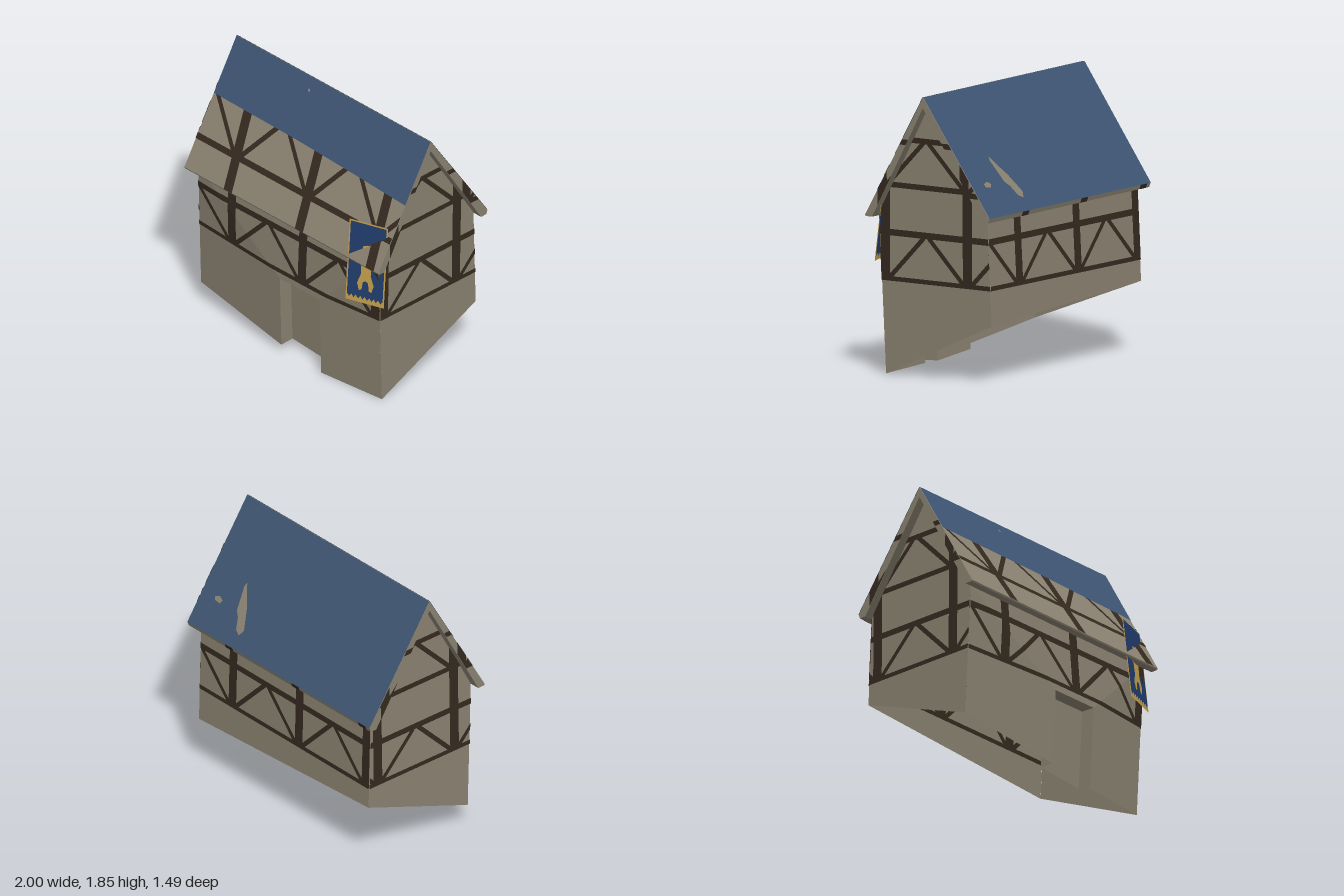
import * as THREE from 'three';

const YAW = 0.3195, C = Math.cos(YAW), S = Math.sin(YAW), T = S / C;
const mat = (name, color) => {
  const m = new THREE.MeshStandardMaterial({ color, side: THREE.DoubleSide });
  m.name = name;
  return m;
};

// The old roof sags a little towards its left end and leans at the ridge
const settle = (x, y, z) => [x + 0.0125 * (y - 1.04), y - 0.009 * x, z];

// Surfaces of the turned house: u is world x on long sides, world z on end walls; v is height
const longSide = (lz, off = 0) => (u, v) => [u, v, (lz(v, u) + off) / C + u * T];
const endSide = (lx, off = 0) => (u, v) => [(lx(v) + off) / C - u * T, v, u];
const settled = map => (u, v) => settle(...map(u, v));
const backZ = v => -0.475 + 0.042 * v;
const rightX = v => 0.811 + 0.014 * v;
const leftX = v => -0.844 + 0.014 * v;
const roofFrontZ = v => 0.49 - (v - 1.04) * (0.46 / 0.805);
const roofBackZ = v => -0.492 + (v - 1.10) * (0.522 / 0.745);
const backEaveZ = v => -0.482 - (v - 1.07) / 3;
// The front wall bulges outward around the door
const frontZ = (v, u) => 0.38 + 0.042 * v + 0.052 * Math.min((u + 0.92) / 0.73, (0.65 - u) / 0.495, (1.05 - v) / 0.485, 1);

// Flat outline laid on a surface
function plate(points, map) {
  const g = new THREE.ShapeGeometry(new THREE.Shape(points.map(p => new THREE.Vector2(p[0], p[1]))));
  const pos = g.attributes.position;
  for (let i = 0; i < pos.count; i++) pos.setXYZ(i, ...map(pos.getX(i), pos.getY(i)));
  g.computeVertexNormals();
  return g;
}

function quad(a, b, c, d) {
  const g = new THREE.BufferGeometry();
  g.setAttribute('position', new THREE.Float32BufferAttribute([a, b, c, a, c, d].flat(), 3));
  g.computeVertexNormals();
  return g;
}

// Cut a polygon to a convex region
function clip(poly, region) {
  const area = region.reduce((s, p, i) => {
    const q = region[(i + 1) % region.length];
    return s + p[0] * q[1] - q[0] * p[1];
  }, 0);
  const r = area > 0 ? region : [...region].reverse();
  let out = poly;
  r.forEach((a, i) => {
    const b = r[(i + 1) % r.length];
    const dist = p => (b[0] - a[0]) * (p[1] - a[1]) - (b[1] - a[1]) * (p[0] - a[0]);
    const next = [];
    out.forEach((p, j) => {
      const q = out[(j + 1) % out.length], dp = dist(p), dq = dist(q);
      if (dp >= 0) next.push(p);
      if (dp * dq < 0) {
        const t = dp / (dp - dq);
        next.push([p[0] + (q[0] - p[0]) * t, p[1] + (q[1] - p[1]) * t]);
      }
    });
    out = next;
  });
  return out;
}

// Repeating timber pattern: rails, posts and braces
function timberPattern() {
  const bar = (x0, y0, x1, y1, w) => {
    const l = Math.hypot(x1 - x0, y1 - y0), a = -(y1 - y0) / l * w / 2, b = (x1 - x0) / l * w / 2;
    return [[x0 - a, y0 - b], [x1 - a, y1 - b], [x1 + a, y1 + b], [x0 + a, y0 + b]];
  };
  const bars = [];
  for (const [y, w] of [[0.623, 0.03], [0.925, 0.042], [1.237, 0.036], [1.54, 0.036]]) bars.push(bar(-1.2, y, 1.2, y, w));
  for (const u of [-1.24, -0.62, 0, 0.615]) {
    bars.push(bar(u, 0.61, u, 1.8, 0.07));
    for (const y of [0.63, 1.25]) {
      for (const s of [-1, 1]) bars.push(bar(u + s * 0.03, y, u + s * 0.29, y + 0.28, 0.03));
    }
  }
  return bars;
}

export function createModel() {
  const plaster = mat('plaster', 0x8a8271);
  const timber = mat('timber', 0x34291f);
  const slate = mat('blue roof', 0x3e5472);
  const bannerBlue = mat('banner blue', 0x213c6c);
  const gold = mat('gold', 0xc29d4b);

  const house = new THREE.Group();
  house.name = 'house';
  const add = (name, geometry, material, parent = house) => {
    const m = new THREE.Mesh(geometry, material);
    m.name = name;
    parent.add(m);
    return m;
  };

  // Walls with an uneven lower edge; the front is three facets around the door
  const frontFacets = [
    [[-0.92, 0.155], [-0.19, 0.05], [-0.19, 0.565], [-0.92, 1.05]],
    [[-0.92, 1.05], [-0.19, 0.565], [0.155, 0.565], [0.65, 1.05]],
    [[0.155, 0], [0.65, 0], [0.65, 1.05], [0.155, 0.565]],
  ];
  const backOutline = [[-0.652, 0.47], [0.919, 0.38], [0.919, 1.085], [-0.652, 1.085]];
  const rightOutline = [[0.616, 0], [0.662, 1.05], [0.291, 1.79], [-0.147, 1.09], [-0.179, 0.38]];
  const leftOutline = [[0.103, 0.155], [0.142, 1.05], [-0.229, 1.79], [-0.668, 1.09], [-0.695, 0.47]];
  for (const facet of frontFacets) add('frontWall', plate(facet, longSide(frontZ)), plaster);
  add('backWall', plate(backOutline, longSide(backZ)), plaster);
  add('rightGable', plate(rightOutline, endSide(rightX)), plaster);
  add('leftGable', plate(leftOutline, endSide(leftX)), plaster);

  // Door recess
  const rim = [[-0.19, 0.05], [-0.19, 0.565], [0.155, 0.565], [0.155, 0.02]];
  const outer = rim.map(p => longSide(frontZ)(...p));
  const inner = outer.map(p => [p[0] + 0.1 * S, p[1] + 0.004, p[2] - 0.1 * C]);
  for (let i = 0; i < 3; i++) add('doorJamb', quad(outer[i], outer[i + 1], inner[i + 1], inner[i]), plaster);
  add('door', quad(...inner), plaster);

  // Roof shell: bent slab running along the house
  const profile = [[0.03, 1.845], [-0.492, 1.10], [-0.482, 1.07], [-0.435, 1.07], [0.03, 1.775], [0.435, 1.03], [0.485, 1.03], [0.49, 1.04]];
  const shell = new THREE.ExtrudeGeometry(new THREE.Shape(profile.map(p => new THREE.Vector2(...p))), { depth: 1.78, bevelEnabled: false });
  shell.translate(0, 0, -0.89).rotateY(-Math.PI / 2).rotateY(-YAW);
  const sp = shell.attributes.position;
  for (let i = 0; i < sp.count; i++) sp.setXYZ(i, ...settle(sp.getX(i), sp.getY(i), sp.getZ(i)));
  shell.computeVertexNormals();
  add('roofShell', shell, plaster);

  // Blue covering: whole back slope and upper front slope
  const onBack = off => settled(longSide(roofBackZ, off));
  const onFront = off => settled(longSide(roofFrontZ, off));
  add('backRoofCover', plate([[-0.69, 1.10], [0.999, 1.10], [0.835, 1.845], [-0.854, 1.845]], onBack(-0.003)), slate);
  add('frontRoofCover', plate([[-0.917, 1.495], [-0.2, 1.488], [0.2, 1.477], [0.765, 1.457], [0.835, 1.845], [-0.854, 1.845]], onFront(0.003)), slate);

  // Worn patches, outlined in plan (x, z) and lifted onto the back slope
  const roofBackY = (x, z) => 1.10 + (z * C - x * S + 0.492) * (0.745 / 0.522);
  const patches = [
    [[0.53, -0.26], [0.56, -0.275], [0.595, -0.25], [0.61, -0.2], [0.635, -0.17], [0.635, -0.07], [0.62, -0.06], [0.595, -0.11], [0.56, -0.17]],
    [[0.77, -0.12], [0.79, -0.13], [0.835, -0.11], [0.84, -0.095], [0.8, -0.1]],
  ];
  for (const p of patches) add('wornPatch', plate(p.map(([x, z]) => [x, roofBackY(x, z)]), onBack(-0.006)), plaster);
  add('wornSpot', plate([[-0.2, 1.763], [-0.185, 1.763], [-0.185, 1.78], [-0.2, 1.78]], onFront(0.006)), plaster);

  // Timber framing; walls show it on both faces
  const frame = (name, regions, surface, offsets) => {
    const group = new THREE.Group();
    group.name = name;
    for (const region of regions) {
      for (const bar of timberPattern()) {
        const cut = clip(bar, region);
        if (cut.length < 3) continue;
        for (const off of offsets) add('beam', plate(cut, surface(off)), timber, group);
      }
    }
    house.add(group);
  };
  const both = [0.004, -0.004];
  frame('frontFrame', frontFacets, o => longSide(frontZ, o), both);
  frame('backFrame', [backOutline], o => longSide(backZ, o), both);
  frame('rightFrame', [rightOutline], o => endSide(rightX, o), both);
  frame('leftFrame', [leftOutline], o => endSide(leftX, o), both);
  frame('roofFrame', [[[-0.998, 1.04], [0.69, 1.04], [0.765, 1.457], [0.2, 1.477], [-0.2, 1.488], [-0.917, 1.495]]], onFront, [0.003]);
  frame('backEaveFrame', [[[-0.69, 1.07], [0.999, 1.07], [0.999, 1.10], [-0.69, 1.10]]], o => settled(longSide(backEaveZ, o)), [-0.003]);

  // Timber pattern carried over the sloping gable edges
  for (const s of [1, -1]) {
    const edges = [[0, 1, 3, 4], [0, 7, 5, 4]].map(ids => ids.map(i => [profile[i][0] * C + s * 0.89 * S, profile[i][1]]));
    frame('gableEdgeFrame', edges, o => settled(endSide(() => s * 0.89, o)), [s * 0.003]);
  }

  // Hanging banner by the corner, leaning back into the eave
  const banner = new THREE.Group();
  banner.name = 'banner';
  banner.position.set(0.557, 1.02, 0.647);
  banner.rotation.x = -0.11;
  house.add(banner);
  const layer = off => (u, v) => [u, v, off];
  const half = [[0, 0.13], [0.03, 0.12], [0.03, 0.07], [0.06, 0.04], [0.075, 0.005], [0.04, 0.0], [0.035, -0.08], [0.06, -0.15], [0.045, -0.2], [0.025, -0.19], [0.02, -0.14], [0, -0.125]];
  const figure = [...half, ...half.slice(1, -1).reverse().map(([x, y]) => [-x, y])];
  // Lower edge of the field is jagged above a gold fringe
  const field = [[0.129, 0.277], [-0.129, 0.277]];
  for (let i = 0; i <= 16; i++) field.push([-0.129 + i * 0.258 / 16, i % 2 ? -0.262 : -0.24]);
  add('bannerBorder', plate([[-0.139, -0.287], [0.139, -0.287], [0.139, 0.287], [-0.139, 0.287]], layer(0)), gold, banner);
  for (const s of [1, -1]) {
    add('bannerField', plate(field, layer(s * 0.002)), bannerBlue, banner);
    add('bannerEmblem', plate(figure, layer(s * 0.004)), gold, banner);
  }

  const model = new THREE.Group();
  model.name = 'timberHouse';
  model.add(house);
  return model;
}
